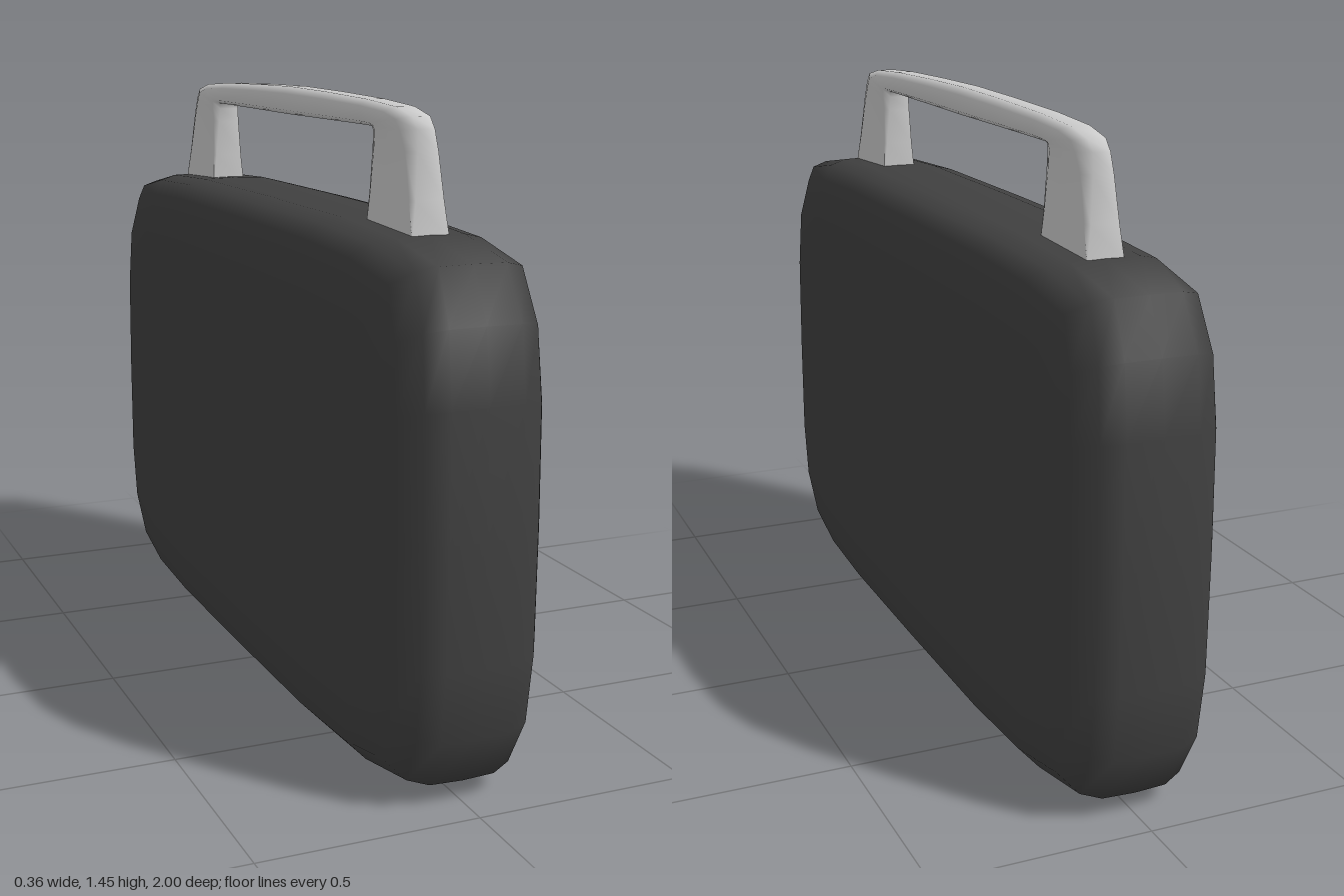
import * as THREE from 'three';
import { mergeVertices } from 'three/addons/utils/BufferGeometryUtils.js';

// Softly rounded case: a 6x6x6 box grid whose faces shrink towards their edges
function caseGeometry(hx, hy, hz) {
  const box = new THREE.BoxGeometry(6, 6, 6, 6, 6, 6);
  box.deleteAttribute('normal');
  box.deleteAttribute('uv');
  const geo = mergeVertices(box);
  const spread = [0, 0.5, 0.79, 1];
  const shrink = [1, 0.997, 0.977, 0.92];
  const pos = geo.attributes.position;
  for (let i = 0; i < pos.count; i++) {
    const p = [pos.getX(i), pos.getY(i), pos.getZ(i)].map(Math.round);
    const s = p.map((v) => shrink[Math.abs(v)]);
    const g = p.map((v) => Math.sign(v) * spread[Math.abs(v)]);
    pos.setXYZ(i, hx * g[0] * s[1] * s[2], hy * g[1] * s[0] * s[2], hz * g[2] * s[0] * s[1]);
  }
  geo.computeVertexNormals();
  return geo;
}

// Handle: bevelled sections lofted up one leg, along the grip and down the other
function handleGeometry() {
  // outer z, outer y, inner z, inner y, half width, bevel
  const half = [
    [0.73, 1.17, 0.5, 1.17, 0.044, 0.05],
    [0.722, 1.25, 0.499, 1.25, 0.039, 0.35],
    [0.71, 1.35, 0.496, 1.34, 0.035, 0.7],
    [0.7, 1.395, 0.494, 1.375, 0.036, 1],
    [0.675, 1.42, 0.493, 1.388, 0.038, 1],
    [0.6, 1.436, 0.485, 1.39, 0.039, 1],
    [0.45, 1.445, 0.44, 1.39, 0.038, 1],
    [0.22, 1.451, 0.22, 1.389, 0.036, 1],
  ];
  const mirrored = half.map(([a, b, c, d, w, k]) => [-a, b, -c, d, w, k]).reverse();
  const stations = [...half, [0, 1.454, 0, 1.388, 0.036, 1], ...mirrored];

  const positions = [];
  const index = [];
  const ring = 8;
  stations.forEach(([oz, oy, iz, iy, w, k], i) => {
    const side = [[0, 1 - 0.3 * k], [0.15 * k, 1], [1 - 0.25 * k, 1], [1, 1 - 0.45 * k]];
    const section = [...side.map(([t, x]) => [t, -x]), ...side.slice().reverse()];
    section.forEach(([t, x], j) => {
      positions.push(x * w, iy + (oy - iy) * t, iz + (oz - iz) * t);
      if (i === stations.length - 1) return;
      const a = i * ring + j;
      const b = i * ring + (j + 1) % ring;
      index.push(a, b, a + ring, b, b + ring, a + ring);
    });
  });
  const geo = new THREE.BufferGeometry();
  geo.setAttribute('position', new THREE.Float32BufferAttribute(positions, 3));
  geo.setIndex(index);
  geo.computeVertexNormals();
  return geo;
}

export function createModel() {
  const group = new THREE.Group();

  const body = new THREE.Mesh(
    caseGeometry(0.18, 0.597, 1),
    new THREE.MeshStandardMaterial({ color: 0x404040 })
  );
  body.name = 'caseBody';
  body.position.y = 0.597;
  group.add(body);

  const handle = new THREE.Mesh(
    handleGeometry(),
    new THREE.MeshStandardMaterial({ color: 0xcccccc, side: THREE.DoubleSide })
  );
  handle.name = 'handle';
  group.add(handle);

  return group;
}
